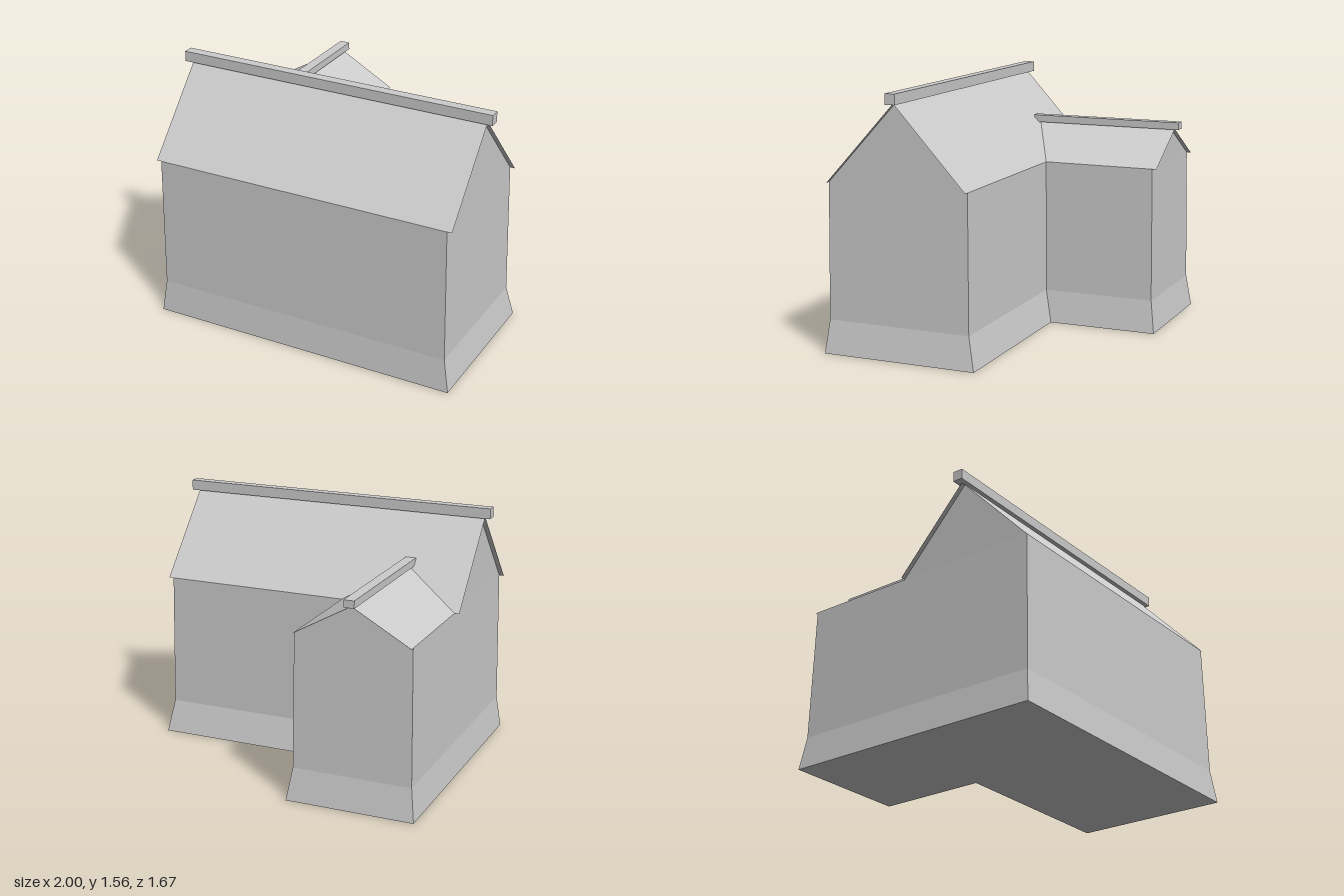
import * as THREE from 'three';

const grey = new THREE.MeshStandardMaterial({ color: 0xcccccc, side: THREE.DoubleSide });
grey.name = 'plain grey';

// Flat polygons (3 or more corners, counter-clockwise from outside) fanned into triangles
function faces(name, polygons) {
  const pos = [];
  for (const p of polygons) {
    for (let i = 1; i < p.length - 1; i++) pos.push(...p[0], ...p[i], ...p[i + 1]);
  }
  const g = new THREE.BufferGeometry();
  g.setAttribute('position', new THREE.Float32BufferAttribute(pos, 3));
  g.computeVertexNormals();
  const mesh = new THREE.Mesh(g, grey);
  mesh.name = name;
  return mesh;
}

function box(name, x0, x1, y0, y1, z0, z1) {
  const mesh = new THREE.Mesh(new THREE.BoxGeometry(x1 - x0, y1 - y0, z1 - z0), grey);
  mesh.position.set((x0 + x1) / 2, (y0 + y1) / 2, (z0 + z1) / 2);
  mesh.name = name;
  return mesh;
}

// L-shaped outline at one height
const outline = ({ y, left, right, wing, front, back, wingBack }) => [
  [left, y, front], [right, y, front], [right, y, back],
  [wing, y, back], [wing, y, wingBack], [left, y, wingBack],
];

// Quads joining two outlines
const band = (a, b) => a.map((p, i) => {
  const j = (i + 1) % a.length;
  return [p, a[j], b[j], b[i]];
});

export function createModel() {
  const house = new THREE.Group();
  house.name = 'house';

  const base = outline({ y: 0, left: -0.968, right: 0.975, wing: -0.18, front: 0.832, back: -0.133, wingBack: -0.815 });
  const plinth = outline({ y: 0.2, left: -0.942, right: 0.94, wing: -0.213, front: 0.812, back: -0.088, wingBack: -0.785 });
  const eave = outline({ y: 1.02, left: -0.93, right: 0.93, wing: -0.22, front: 0.803, back: -0.081, wingBack: -0.775 });

  // Walls with a flared foot, and the floor
  house.add(faces('flaredFoot', band(base, plinth)));
  house.add(faces('walls', band(plinth, eave)));
  const [a, b, c, d, e, f] = base;
  house.add(faces('floor', [[a, d, c, b], [a, f, e, d]]));

  // Gable triangles
  const ridgeY = 1.5, ridgeZ = 0.361, wingY = 1.22, wingX = -0.575;
  const [A, B, C, , E, F] = eave;
  const leftBack = [-0.93, 1.02, -0.081];
  house.add(faces('mainGables', [
    [B, C, [0.93, ridgeY, ridgeZ]],
    [leftBack, A, [-0.93, ridgeY, ridgeZ]],
  ]));
  house.add(faces('wingGable', [[E, F, [wingX, wingY, -0.775]]]));

  // Main roof slopes, overhanging both gables
  const r = 0.96;
  const ridge = [[-r, ridgeY, ridgeZ], [r, ridgeY, ridgeZ]];
  house.add(faces('mainRoof', [
    [[-r, 1.02, 0.803], [r, 1.02, 0.803], ridge[1], ridge[0]],
    [[r, 1.02, -0.081], [-r, 1.02, -0.081], ridge[0], ridge[1]],
  ]));

  // Wing roof slopes, running into the main roof along two valleys
  const tip = [wingX, wingY, 0.103], end = [wingX, wingY, -0.802];
  house.add(faces('wingRoof', [
    [[-0.22, 1.02, -0.081], [-0.22, 1.02, -0.802], end, tip],
    [[-0.93, 1.02, -0.802], [-0.93, 1.02, -0.081], tip, end],
  ]));

  // Ridge beams
  house.add(box('mainRidgeBeam', -1, 1, 1.497, 1.56, 0.33, 0.392));
  house.add(box('wingRidgeBeam', -0.607, -0.543, 1.22, 1.265, -0.835, 0.135));
  return house;
}
